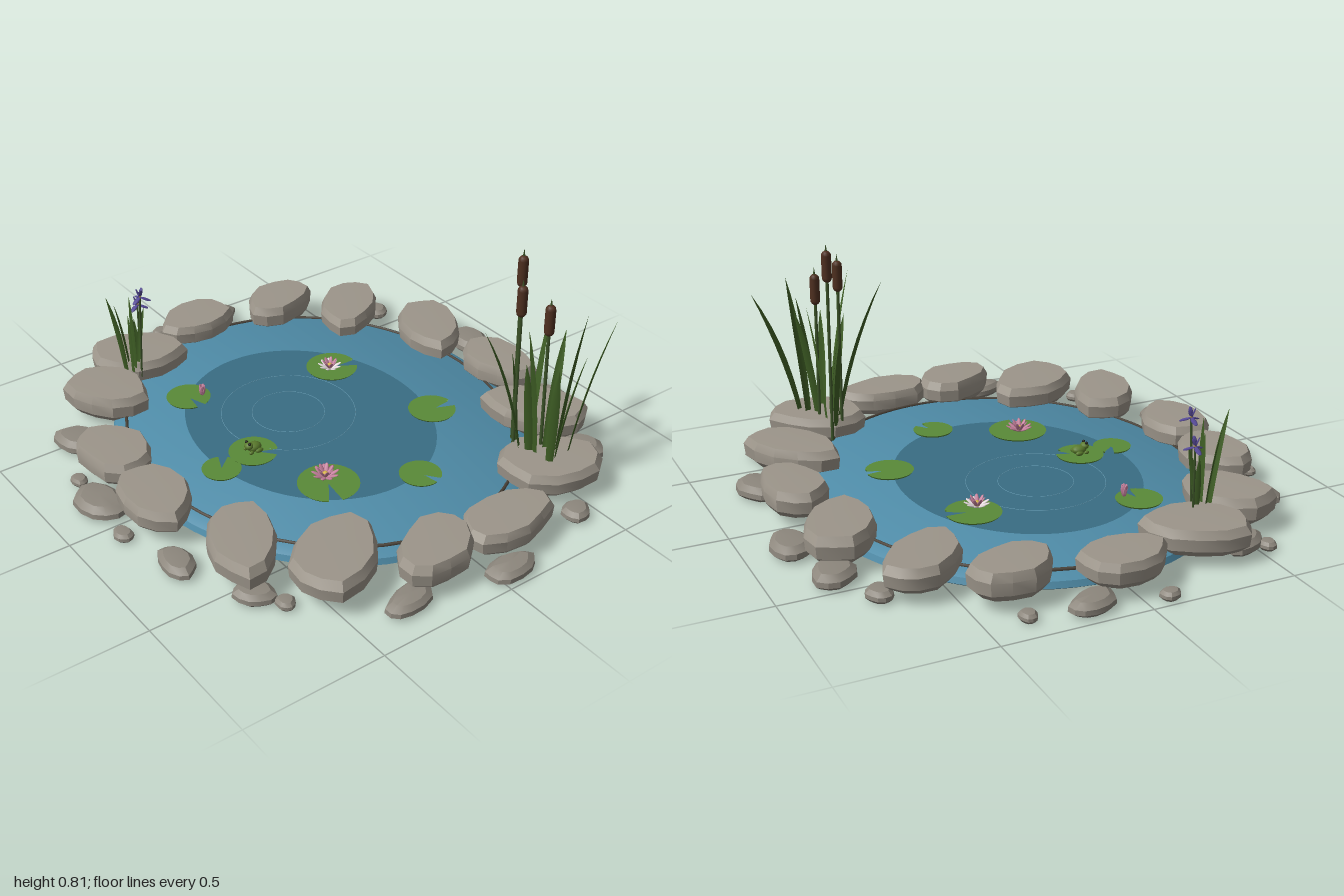
import * as THREE from 'three';
import { toCreasedNormals } from 'three/addons/utils/BufferGeometryUtils.js';

const WATER = 0.062, ROCK_TOP = 0.12;
const V = (x, y, z) => new THREE.Vector3(x, y, z);
const paint = (color, side = THREE.FrontSide) => {
  const m = new THREE.MeshStandardMaterial({ side });
  m.color.setHex(color);
  return m;
};
const mats = {
  water: paint(0x4f8ca8), deep: paint(0x396d84), ripple: paint(0x6ba3bb), rim: paint(0x4a4238),
  stone: paint(0x9c958a), pebble: paint(0x8d877d), pad: paint(0x5a8a38, THREE.DoubleSide),
  blade: paint(0x3f5f25, THREE.DoubleSide), stem: paint(0x3c5428), cattail: paint(0x4f3020),
  white: paint(0xeadfe2), pink: paint(0xc983a0), yellow: paint(0xd8b548),
  iris: paint(0x564a98), frog: paint(0x5a7a2c), eye: paint(0x1c1c14),
};

let seed = 7;
const rand = () => (seed = (seed * 16807) % 2147483647) / 2147483647;

function add(parent, name, geometry, mat, x = 0, y = 0, z = 0) {
  const m = new THREE.Mesh(geometry, mat);
  m.name = name;
  m.position.set(x, y, z);
  parent.add(m);
  return m;
}

function group(parent, name, x = 0, y = 0, z = 0) {
  const g = new THREE.Group();
  g.name = name;
  g.position.set(x, y, z);
  parent.add(g);
  return g;
}

// Flat-topped stone: a turned profile with a wobbling outline
const BOULDER = [[0, 0], [0.8, 0], [0.97, 0.25], [1, 0.7], [0.89, 1], [0, 1.03]];
const PEBBLE = [[0, 0], [0.72, 0], [0.98, 0.3], [0.96, 0.62], [0.68, 0.94], [0, 1.03]];
function rock(parent, name, [x, z, a, b, deg], y, h, profile, mat) {
  const g = new THREE.LatheGeometry(profile.map(([r, v]) => new THREE.Vector2(r, v)), 12);
  const p = g.attributes.position, q = rand() * 6.28, s = rand() * 6.28;
  for (let i = 0; i < p.count; i++) {
    const t = Math.atan2(p.getZ(i), p.getX(i));
    const k = 1 + 0.05 * Math.sin(3 * t + q) + 0.035 * Math.sin(5 * t + s);
    p.setXYZ(i, p.getX(i) * k * a, p.getY(i) * h, p.getZ(i) * k * b);
  }
  add(parent, name, toCreasedNormals(g, 0.5), mat, x, y, z).rotation.y = -deg * Math.PI / 180;
}

// Tapered, folded leaf bending from base to tip
function blade(parent, base, tip, width) {
  const mid = V(base.x * 0.7 + tip.x * 0.3, base.y * 0.45 + tip.y * 0.55, base.z * 0.7 + tip.z * 0.3);
  const curve = new THREE.QuadraticBezierCurve3(base, mid, tip);
  const turn = Math.atan2(tip.x - base.x, tip.z - base.z) + (rand() - 0.5) * 1.6;
  const side = V(Math.cos(turn), 0, -Math.sin(turn)), fold = V(Math.sin(turn), 0, Math.cos(turn));
  const pos = [], idx = [], n = 7;
  for (let i = 0; i <= n; i++) {
    const t = i / n, c = curve.getPoint(t), w = width * 0.5 * (0.65 + 0.9 * t) * (1 - t ** 2.2);
    for (const k of [-1, 0, 1]) {
      pos.push(...c.clone().addScaledVector(side, k * w).addScaledVector(fold, k ? 0 : w * 0.35).toArray());
    }
    if (i < n) for (const j of [i * 3, i * 3 + 1]) idx.push(j, j + 1, j + 3, j + 1, j + 4, j + 3);
  }
  const g = new THREE.BufferGeometry();
  g.setAttribute('position', new THREE.Float32BufferAttribute(pos, 3));
  g.setIndex(idx);
  g.computeVertexNormals();
  add(parent, 'leafBlade', g, mats.blade);
}

// Ring of flattened petals springing from the origin of the parent
function petals(parent, count, length, width, tilt, mat, offset = 0) {
  for (let i = 0; i < count; i++) {
    const g = new THREE.SphereGeometry(1, 6, 5).rotateX(Math.PI / 2);
    g.scale(width / 2, width / 6, length / 2).translate(0, 0, length / 2);
    g.rotateX(-tilt).rotateY(offset + (i / count) * Math.PI * 2);
    add(parent, 'petal', g, mat);
  }
}

const stem = (parent, a, b, r) =>
  add(parent, 'stem', new THREE.TubeGeometry(new THREE.LineCurve3(a, b), 1, r, 6), mats.stem);

function buildPond(root) {
  const pond = group(root, 'pond', -0.035, 0, -0.02);
  const profile = [[0, 0.008], [0.97, 0.008], [1, 0.022], [0.99, 0.042], [0.94, WATER], [0, WATER]];
  const basin = new THREE.LatheGeometry(profile.map(([r, y]) => new THREE.Vector2(r, y)), 64);
  add(pond, 'basinAndWater', toCreasedNormals(basin.scale(0.795, 1, 0.705), 0.6), mats.water);
  const rim = new THREE.TorusGeometry(1, 0.008, 6, 64).rotateX(Math.PI / 2).scale(0.75, 0.8, 0.655);
  add(pond, 'rim', rim, mats.rim, 0, WATER, 0);
  const deep = new THREE.CircleGeometry(1, 64).rotateX(-Math.PI / 2).scale(0.497, 1, 0.416);
  add(pond, 'deepWater', deep, mats.deep, -0.018, WATER + 0.0015, 0.03);
  for (const r of [0.13, 0.24]) {
    add(pond, 'ripple', new THREE.TorusGeometry(r, 0.001, 4, 48).rotateX(Math.PI / 2), mats.ripple,
      -0.105, WATER + 0.0015, 0.06);
  }
}

function buildRocks(root) {
  // x, z, half length, half width, turn in degrees
  const boulders = [
    [-0.26, -0.71, 0.175, 0.115, 25], [0.09, -0.75, 0.16, 0.103, -5], [0.41, -0.645, 0.19, 0.11, -35],
    [0.675, -0.46, 0.18, 0.135, -58], [0.815, -0.14, 0.178, 0.105, 87], [0.8, 0.145, 0.16, 0.11, 65],
    [0.645, 0.415, 0.19, 0.135, 52], [0.42, 0.61, 0.185, 0.112, 27], [0.05, 0.705, 0.16, 0.115, 6],
    [-0.25, 0.685, 0.152, 0.115, -8], [-0.587, 0.52, 0.16, 0.118, -30], [-0.745, 0.305, 0.178, 0.125, -62],
    [-0.833, -0.01, 0.15, 0.107, 86], [-0.758, -0.347, 0.148, 0.102, 75], [-0.57, -0.555, 0.172, 0.108, 48],
  ];
  const pebbles = [
    [-0.176, -0.849, 0.1, 0.07, 5], [-0.42, -0.79, 0.09, 0.072, 30], [0.3, -0.81, 0.105, 0.07, -10],
    [0.6, -0.68, 0.09, 0.07, -50], [0.85, -0.42, 0.055, 0.048, 60], [0.38, -0.806, 0.037, 0.034, 0],
    [-0.587, -0.705, 0.053, 0.044, 0], [-0.897, -0.363, 0.034, 0.03, 0], [-0.917, -0.16, 0.092, 0.058, 65],
    [-0.96, 0.08, 0.036, 0.03, 80], [0.94, -0.05, 0.098, 0.057, 88], [0.87, 0.3, 0.1, 0.055, 75],
    [0.65, 0.608, 0.036, 0.032, 0], [0.565, 0.665, 0.072, 0.055, -40], [0.3, 0.78, 0.086, 0.055, 5],
    [0.067, 0.84, 0.042, 0.032, 0], [-0.117, 0.822, 0.11, 0.078, -6], [-0.278, 0.812, 0.036, 0.028, 0],
    [-0.475, 0.705, 0.095, 0.072, -28], [-0.77, 0.46, 0.088, 0.062, 55], [-0.806, 0.534, 0.034, 0.03, 0],
  ];
  const rocks = group(root, 'rockBorder');
  for (const b of boulders) rock(rocks, 'boulder', b, 0.034 + rand() * 0.01, 0.086 + rand() * 0.012, BOULDER, mats.stone);
  for (const p of pebbles) rock(rocks, 'pebble', p, 0, Math.min(0.055, 0.012 + p[3] * 0.65), PEBBLE, mats.pebble);
}

function buildLilies(root) {
  const lilies = group(root, 'waterLilies');
  // x, z, radius, notch direction x and z
  const pads = [
    [-0.285, -0.26, 0.095, 0.3, -1], [0.155, -0.38, 0.085, 0.15, -1], [0.435, -0.097, 0.073, 1, -0.45],
    [0.295, 0.183, 0.106, 1, 0.4], [-0.005, 0.283, 0.085, 0.75, -1], [0.015, 0.425, 0.068, -0.8, -0.6],
    [-0.427, 0.28, 0.08, 1, -0.1],
  ];
  pads.forEach(([x, z, r, nx, nz], i) => {
    const start = Math.atan2(nx, nz) + 0.24;
    add(lilies, 'lilyPad', new THREE.CylinderGeometry(r, r * 0.95, 0.006, 28, 1, false, start, Math.PI * 2 - 0.48),
      mats.pad, x, WATER + 0.005 + (i === 5 ? -0.001 : 0), z);
  });
  for (const [x, z, mat, size] of [[-0.27, -0.24, mats.white, 0.05], [0.27, 0.178, mats.pink, 0.054]]) {
    const flower = group(lilies, 'lilyFlower', x, WATER + 0.012, z);
    petals(flower, 9, size, size * 0.36, 0.45, mat);
    petals(flower, 7, size * 0.95, size * 0.32, 0.95, mats.pink, 0.3);
    add(flower, 'flowerCentre', new THREE.SphereGeometry(0.011, 8, 6), mats.yellow, 0, 0.014, 0);
  }
  const bud = group(lilies, 'lilyBud', -0.4, WATER + 0.01, 0.238);
  petals(bud, 5, 0.046, 0.022, 1.35, mats.pink);
}

function buildFrog(root) {
  const frog = group(root, 'frog', -0.005, WATER + 0.01, 0.283);
  const blob = (name, r, sx, sy, sz, x, y, z, mat = mats.frog) =>
    add(frog, name, new THREE.SphereGeometry(r, 12, 8).scale(sx, sy, sz), mat, x, y, z);
  blob('body', 0.022, 1, 0.75, 1.25, 0, 0.015, -0.004);
  blob('head', 0.017, 1.05, 0.75, 0.9, 0, 0.026, 0.018);
  for (const s of [-1, 1]) {
    blob('eye', 0.0055, 1, 1, 1, s * 0.01, 0.038, 0.02, mats.eye);
    blob('hindLeg', 0.012, 0.7, 0.7, 1.3, s * 0.021, 0.008, -0.012);
    blob('frontLeg', 0.008, 0.8, 0.8, 1.2, s * 0.017, 0.006, 0.018);
  }
}

function buildCattails(root) {
  const reeds = group(root, 'cattails');
  // x, z, bottom of the brown head
  for (const [x, z, y] of [[0.464, -0.475, 0.677], [0.534, -0.413, 0.617], [0.604, -0.475, 0.557]]) {
    stem(reeds, V(x + 0.008, 0.08, z), V(x, y, z), 0.006);
    add(reeds, 'cattailHead', new THREE.CapsuleGeometry(0.0175, 0.08, 4, 10), mats.cattail, x, y + 0.055, z);
    add(reeds, 'cattailTip', new THREE.ConeGeometry(0.005, 0.03, 6), mats.stem, x, y + 0.122, z);
  }
  // base x, base z, tip x, tip y, tip z
  const blades = [
    [0.58, -0.41, 0.56, 0.63, -0.235], [0.63, -0.43, 0.66, 0.65, -0.33], [0.66, -0.5, 0.695, 0.645, -0.555],
    [0.69, -0.52, 0.71, 0.59, -0.68], [0.69, -0.46, 0.76, 0.545, -0.5], [0.57, -0.46, 0.545, 0.57, -0.53],
    [0.61, -0.42, 0.63, 0.5, -0.36], [0.53, -0.44, 0.5, 0.46, -0.42], [0.64, -0.47, 0.6, 0.55, -0.56],
    [0.7, -0.43, 0.72, 0.5, -0.42],
  ];
  for (const [bx, bz, tx, ty, tz] of blades) blade(reeds, V(bx, ROCK_TOP - 0.01, bz), V(tx, ty, tz), 0.036);
}

function buildIrises(root) {
  const irises = group(root, 'irises');
  const leaves = [
    [-0.66, 0.4, -0.655, 0.44, 0.465], [-0.67, 0.38, -0.685, 0.38, 0.42], [-0.645, 0.37, -0.64, 0.42, 0.38],
    [-0.65, 0.36, -0.665, 0.34, 0.31], [-0.635, 0.385, -0.62, 0.36, 0.4], [-0.665, 0.35, -0.68, 0.3, 0.345],
  ];
  for (const [bx, bz, tx, ty, tz] of leaves) blade(irises, V(bx, ROCK_TOP - 0.01, bz), V(tx, ty, tz), 0.024);
  for (const [x, y, z] of [[-0.69, 0.345, 0.32], [-0.622, 0.415, 0.345]]) {
    stem(irises, V(x * 0.7 - 0.195, 0.08, z + 0.01), V(x, y, z), 0.004);
    const flower = group(irises, 'irisFlower', x, y, z);
    petals(flower, 3, 0.042, 0.02, -0.35, mats.iris, 0.4);
    petals(flower, 3, 0.036, 0.016, 1.2, mats.iris, 1.45);
    add(flower, 'flowerCentre', new THREE.SphereGeometry(0.005, 6, 5), mats.yellow, 0, 0.004, 0);
  }
}

export function createModel() {
  const root = new THREE.Group();
  root.name = 'gardenPond';
  for (const build of [buildPond, buildRocks, buildLilies, buildFrog, buildCattails, buildIrises]) build(root);
  return root;
}
